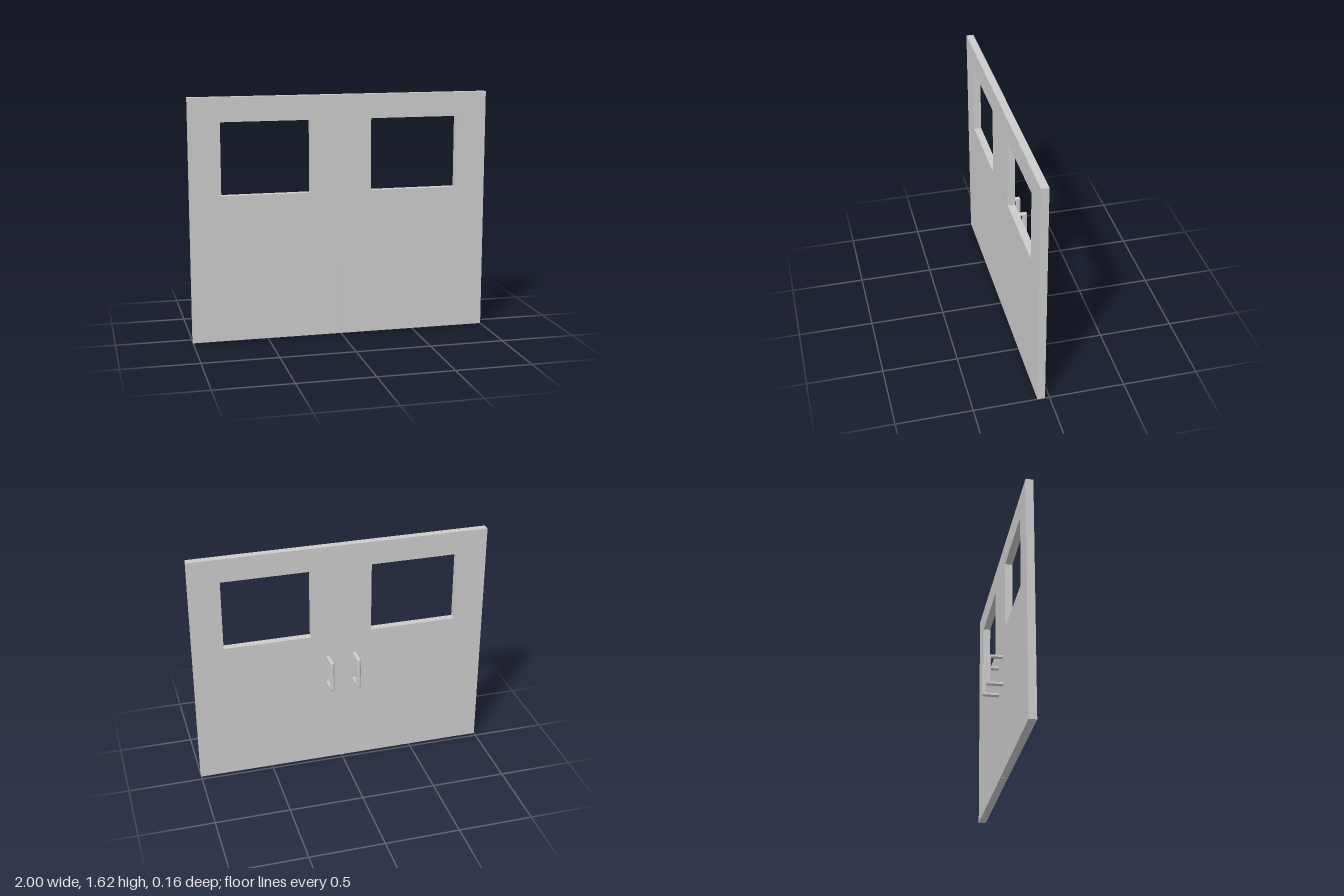
import * as THREE from 'three';

const material = new THREE.MeshStandardMaterial({ color: 0xcccccc, flatShading: true });

const path = (Type, pts) => new Type(pts.map(([x, y]) => new THREE.Vector2(x, y)));
const rect = (Type, x0, y0, x1, y1) => path(Type, [[x0, y0], [x1, y0], [x1, y1], [x0, y1]]);

// Door leaf on the +x side, with a rectangular window opening
function leafGeometry() {
  const shape = rect(THREE.Shape, 0.001, 0, 1, 1.615);
  shape.holes.push(rect(THREE.Path, 0.205, 0.975, 0.795, 1.455));
  return new THREE.ExtrudeGeometry(shape, { depth: 0.05, bevelEnabled: false }).translate(0, 0, 0.03);
}

// U-shaped pull handle with chamfered edges; the profile's x axis points to the back
function handleGeometry() {
  const width = 0.027, bevel = 0.006, c = 0.008;
  const shape = path(THREE.Shape, [
    [-0.04, 0.6], [0.08 - c, 0.6], [0.08, 0.6 + c], [0.08, 0.82 - c], [0.08 - c, 0.82], [-0.04, 0.82],
    [-0.04, 0.797], [0.044, 0.797], [0.048, 0.793], [0.048, 0.627], [0.044, 0.623], [-0.04, 0.623],
  ]);
  return new THREE.ExtrudeGeometry(shape, {
    depth: width - 2 * bevel, bevelThickness: bevel, bevelSize: bevel, bevelOffset: -bevel, bevelSegments: 1,
  }).translate(0, 0, bevel - width / 2).rotateY(Math.PI / 2);
}

export function createModel() {
  const group = new THREE.Group();
  group.name = 'doubleDoor';
  const leaf = leafGeometry(), handle = handleGeometry();
  for (const [side, s] of [['left', 1], ['right', -1]]) {
    const door = new THREE.Group();
    door.name = side + 'Door';
    const panel = new THREE.Mesh(leaf, material);
    panel.name = side + 'Panel';
    panel.scale.x = s;
    const pull = new THREE.Mesh(handle, material);
    pull.name = side + 'Handle';
    pull.position.x = s * 0.092;
    door.add(panel, pull);
    group.add(door);
  }
  return group;
}
